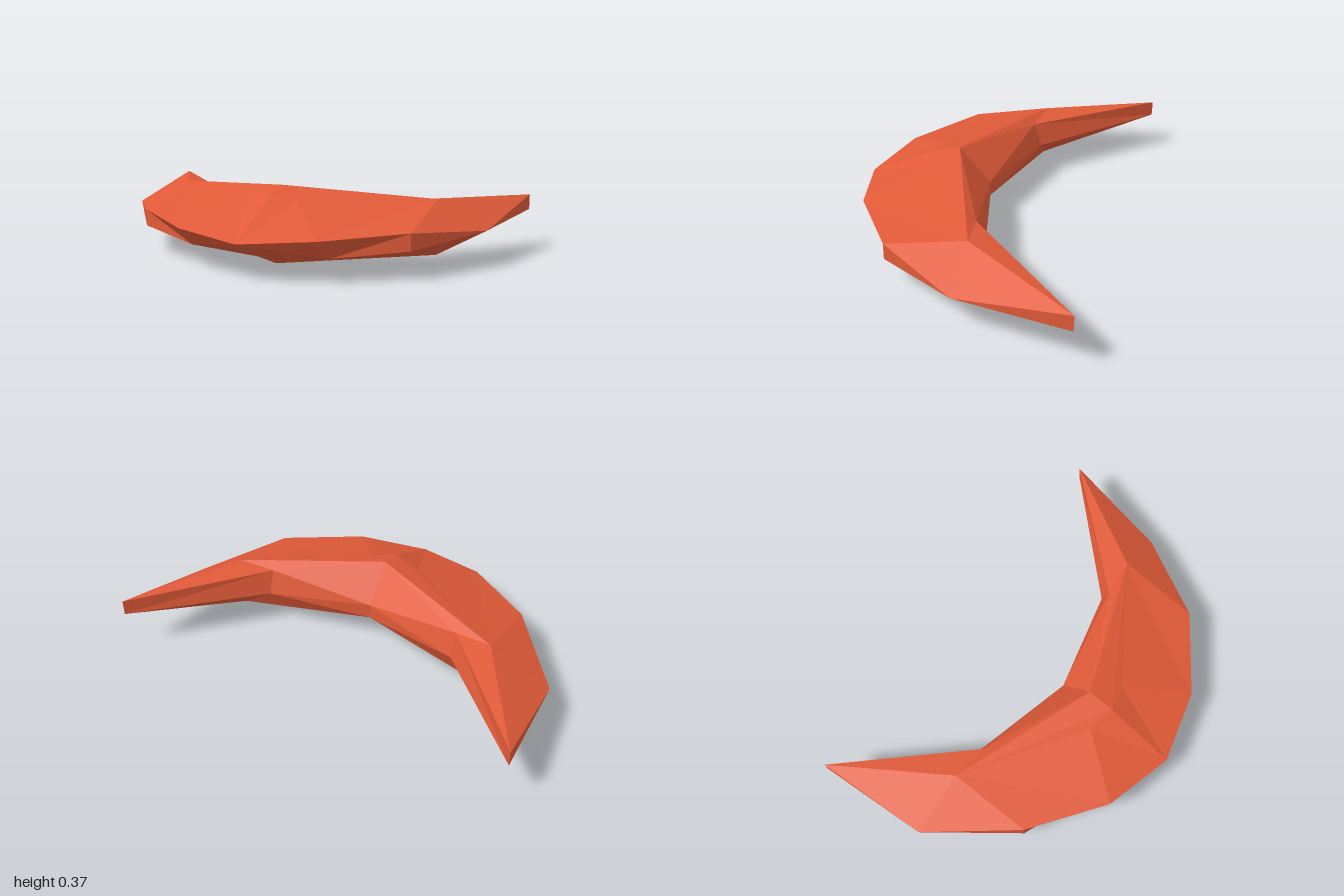
import * as THREE from 'three';

// Rails of one half, each running tip -> side -> shoulder -> brow -> centre line.
// Neighbouring rails are joined by strips; repeated points collapse to triangles.
function halfRails(sideX) {
  const tipTop = [1, 0.275, -0.63], tipLow = [1, 0.2, -0.63];
  const side = [sideX, 0.18, -0.1], nose = [0, 0.175, 0.625];
  const ridge = [0.68, 0.31, -0.1], keel = [0.68, 0.045, -0.09];
  const innerTop = [0.5, 0.295, -0.08], innerLow = [0.5, 0.178, -0.12];
  return [
    [tipTop, ridge, ridge, ridge, [0, 0.37, 0.165]],                         // top ridge
    [tipTop, ridge, ridge, [0.13, 0.315, 0.265], [0, 0.34, 0.29]],           // upper crease
    [tipTop, side, [0.68, 0.22, 0.29], [0.34, 0.2, 0.535], nose],            // front upper edge
    [tipLow, side, [0.68, 0.14, 0.29], [0.35, 0.1, 0.41], nose],             // front lower edge
    [tipLow, keel, keel, keel, [0, 0.04, 0.29]],                             // lower crease
    [tipLow, keel, keel, keel, [0, 0.005, 0.23]],                            // keel
    [tipLow, innerLow, innerLow, innerLow, [0, 0.13, 0.01]],                 // inner lower edge
    [tipTop, innerTop, innerTop, innerTop, [0, 0.205, 0.01]],                // inner upper edge
  ];
}

function halfGeometry(sideX, sign) {
  const positions = [];
  const addTriangle = (a, b, c) => {
    if (a === b || b === c || a === c) return;
    const corners = sign > 0 ? [a, c, b] : [a, b, c];
    corners.forEach(([x, y, z]) => positions.push(sign * x, y, z));
  };
  const rails = halfRails(sideX);
  rails.forEach((a, r) => {
    const b = rails[(r + 1) % rails.length];
    for (let i = 0; i < a.length - 1; i++) {
      addTriangle(a[i], b[i], b[i + 1]);
      addTriangle(a[i], b[i + 1], a[i + 1]);
    }
  });
  const geometry = new THREE.BufferGeometry();
  geometry.setAttribute('position', new THREE.Float32BufferAttribute(positions, 3));
  geometry.computeVertexNormals();
  return geometry;
}

export function createModel() {
  const group = new THREE.Group();
  group.name = 'crescent';
  const material = new THREE.MeshStandardMaterial({ color: 0xe05a38 });
  material.name = 'orange red';
  material.flatShading = true;

  // The two horns meet on the centre line; the right one is slightly wider.
  [['leftHorn', 0.915, 1], ['rightHorn', 0.975, -1]].forEach(([name, sideX, sign]) => {
    const horn = new THREE.Mesh(halfGeometry(sideX, sign), material);
    horn.name = name;
    horn.position.y = -0.005;
    group.add(horn);
  });
  return group;
}
